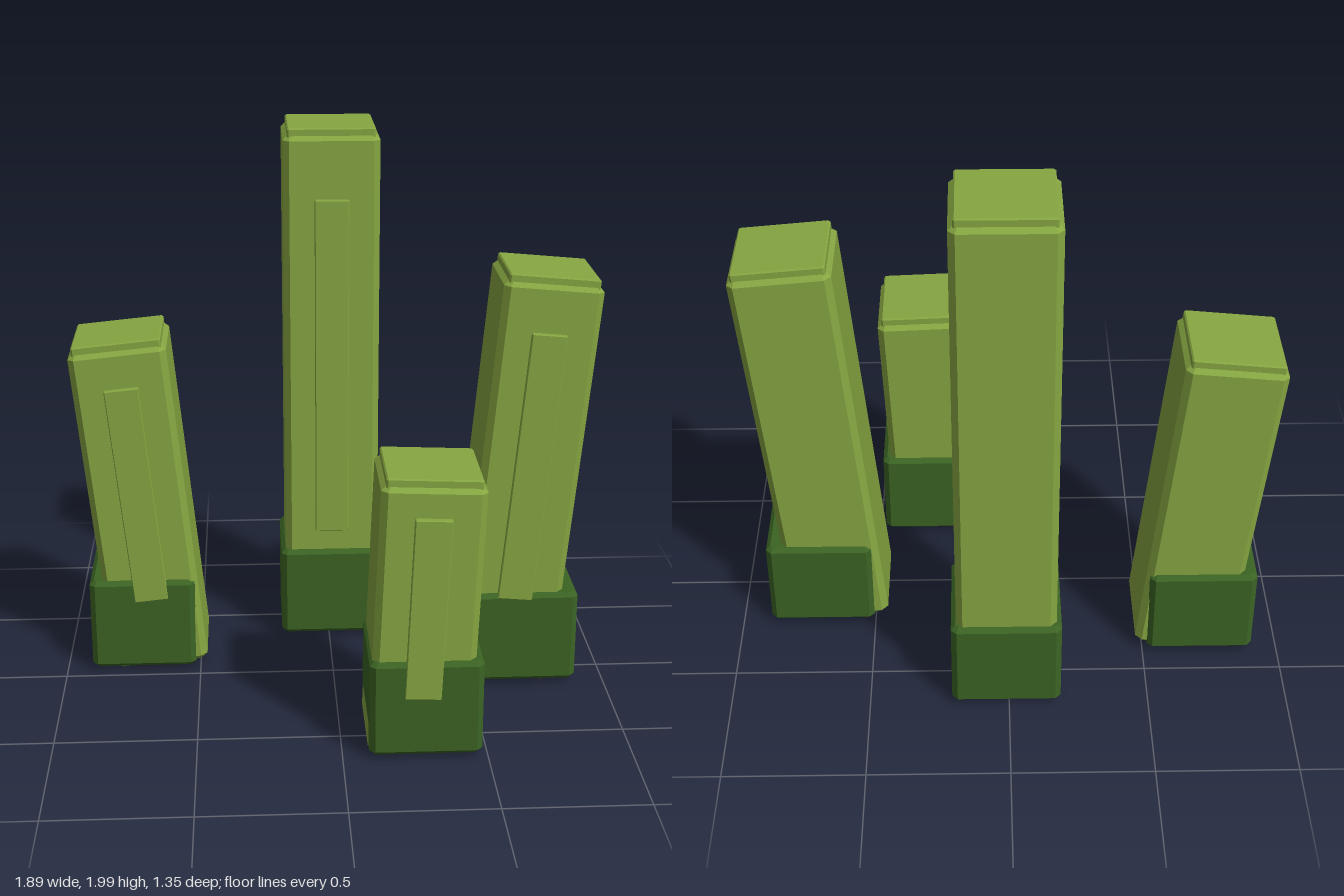
import * as THREE from 'three';

const stalkGreen = new THREE.MeshStandardMaterial({ color: 0x86a641 });
stalkGreen.name = 'stalk green';
const baseGreen = new THREE.MeshStandardMaterial({ color: 0x3b6323 });
baseGreen.name = 'base green';

// Box with flat chamfers on every edge, standing on y = 0.
// side: cut on the upright edges, end: cut around top and bottom
function chamferBox(w, h, d, side, end) {
  const x = w / 2, z = d / 2, c = side;
  const shape = new THREE.Shape([
    [x - c, -z], [x, c - z], [x, z - c], [x - c, z],
    [c - x, z], [-x, z - c], [-x, c - z], [c - x, -z],
  ].map(([a, b]) => new THREE.Vector2(a, b)));
  const geo = new THREE.ExtrudeGeometry(shape, {
    depth: h - 2 * end, bevelEnabled: true, bevelSegments: 1,
    bevelThickness: end, bevelSize: end, bevelOffset: -end,
  });
  return geo.translate(0, 0, end).rotateX(-Math.PI / 2);
}

function part(name, geo, material, x, y, z) {
  const mesh = new THREE.Mesh(geo, material);
  mesh.name = name;
  mesh.position.set(x, y, z);
  return mesh;
}

// Leaning stalk, built downwards from the centre of its top
function makeStalk(length, lean) {
  const stalk = new THREE.Group();
  stalk.name = 'stalk';
  const capHeight = 0.027, bodyHeight = length - capHeight;
  stalk.add(part('stalkBody', chamferBox(0.354, bodyHeight, 0.346, 0.023, 0.017),
    stalkGreen, 0, -length, 0));
  stalk.add(part('stalkCap', chamferBox(0.322, capHeight + 0.01, 0.314, 0.006, 0.005),
    stalkGreen, 0, -capHeight - 0.01, 0));
  // raised rib on the front face
  const ribHeight = length * 0.655;
  stalk.add(part('frontRib', chamferBox(0.125, ribHeight, 0.04, 0.003, 0.003),
    stalkGreen, 0, -length * 0.13 - ribHeight, 0.1735));
  stalk.rotation.z = lean;
  return stalk;
}

export function createModel() {
  const model = new THREE.Group();
  model.name = 'stalkCluster';
  const stalks = [
    { name: 'tallStalk', baseX: 0.01, z: -0.485, topX: 0.01, topY: 2.0, length: 1.97, lean: 0 },
    { name: 'rightStalk', baseX: -0.71, z: -0.224, topX: -0.775, topY: 1.285, length: 1.27, lean: 0.1 },
    { name: 'leftStalk', baseX: 0.697, z: -0.047, topX: 0.766, topY: 1.555, length: 1.54, lean: -0.09 },
    { name: 'frontStalk', baseX: 0.285, z: 0.483, topX: 0.303, topY: 1.018, length: 1.0, lean: -0.04 },
  ];
  for (const s of stalks) {
    const group = new THREE.Group();
    group.name = s.name;
    group.add(part('base', chamferBox(0.39, 0.35, 0.382, 0.02, 0.016), baseGreen, s.baseX, 0.02, s.z));
    const stalk = makeStalk(s.length, s.lean);
    stalk.position.set(s.topX, s.topY, s.z);
    group.add(stalk);
    model.add(group);
  }
  return model;
}
